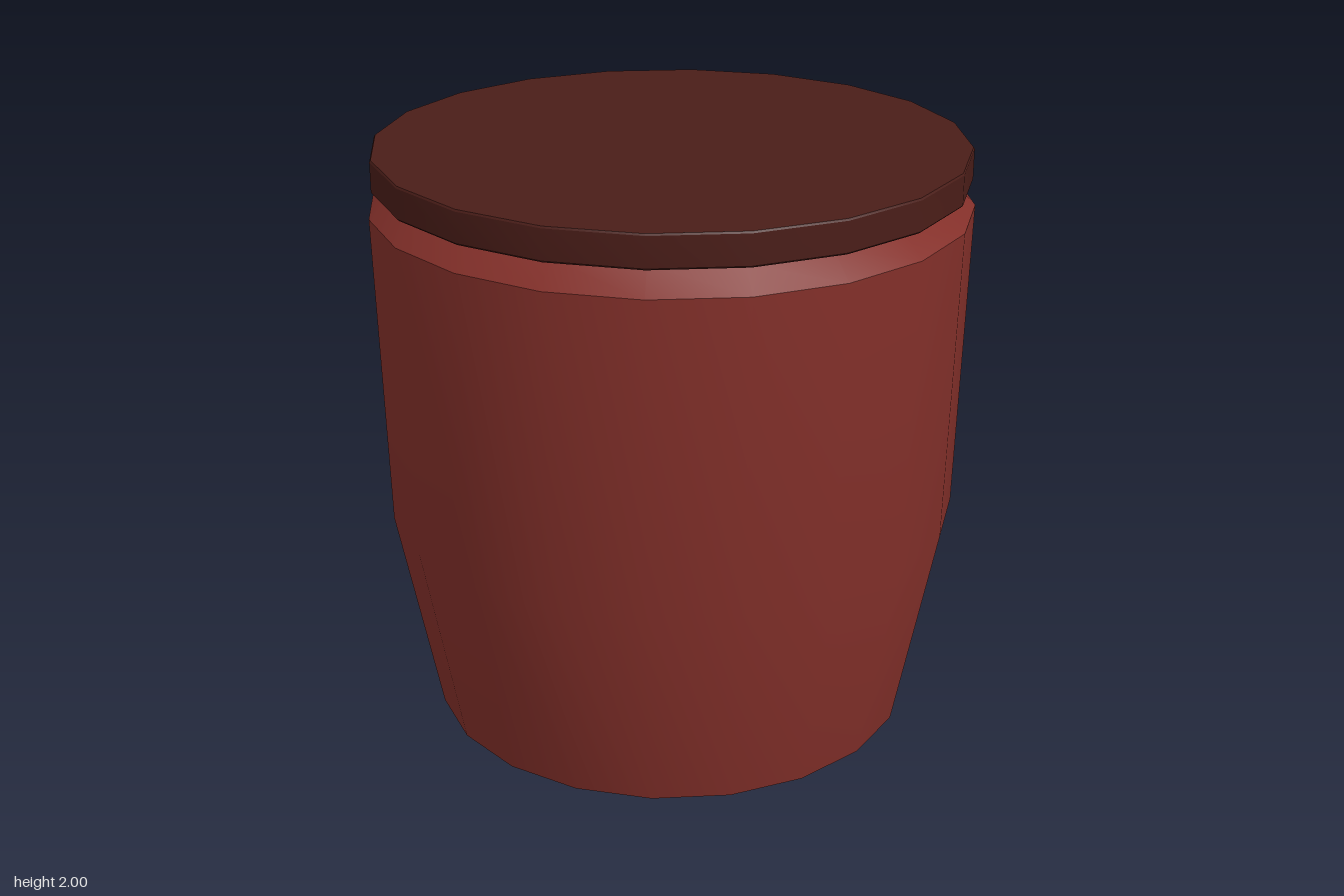
import * as THREE from 'three';
import { toCreasedNormals } from 'three/addons/utils/BufferGeometryUtils.js';

const SIDES = 20;

// Turned part: [radius, height] pairs from bottom to top, smooth around, sharp at strong bends
function turned(name, profile, color) {
  const points = profile.map(([r, y]) => new THREE.Vector2(r, y));
  const geometry = toCreasedNormals(new THREE.LatheGeometry(points, SIDES), Math.PI / 6);
  const mesh = new THREE.Mesh(geometry, new THREE.MeshStandardMaterial({ color }));
  mesh.name = name;
  return mesh;
}

export function createModel() {
  const model = new THREE.Group();
  model.name = 'liddedPot';

  // Tapered body with a sloped shoulder
  model.add(turned('body', [
    [0, 0], [0.83, 0], [0.973, 0.735], [1, 1.8], [0.922, 1.877], [0, 1.877],
  ], 0x84302a));

  // Flat lid, hovering just above the shoulder, with slightly eased edges
  model.add(turned('lid', [
    [0, 1.884], [0.982, 1.884], [0.988, 1.89], [0.988, 1.989], [0.984, 1.995], [0, 1.995],
  ], 0x4a1d18));

  return model;
}
